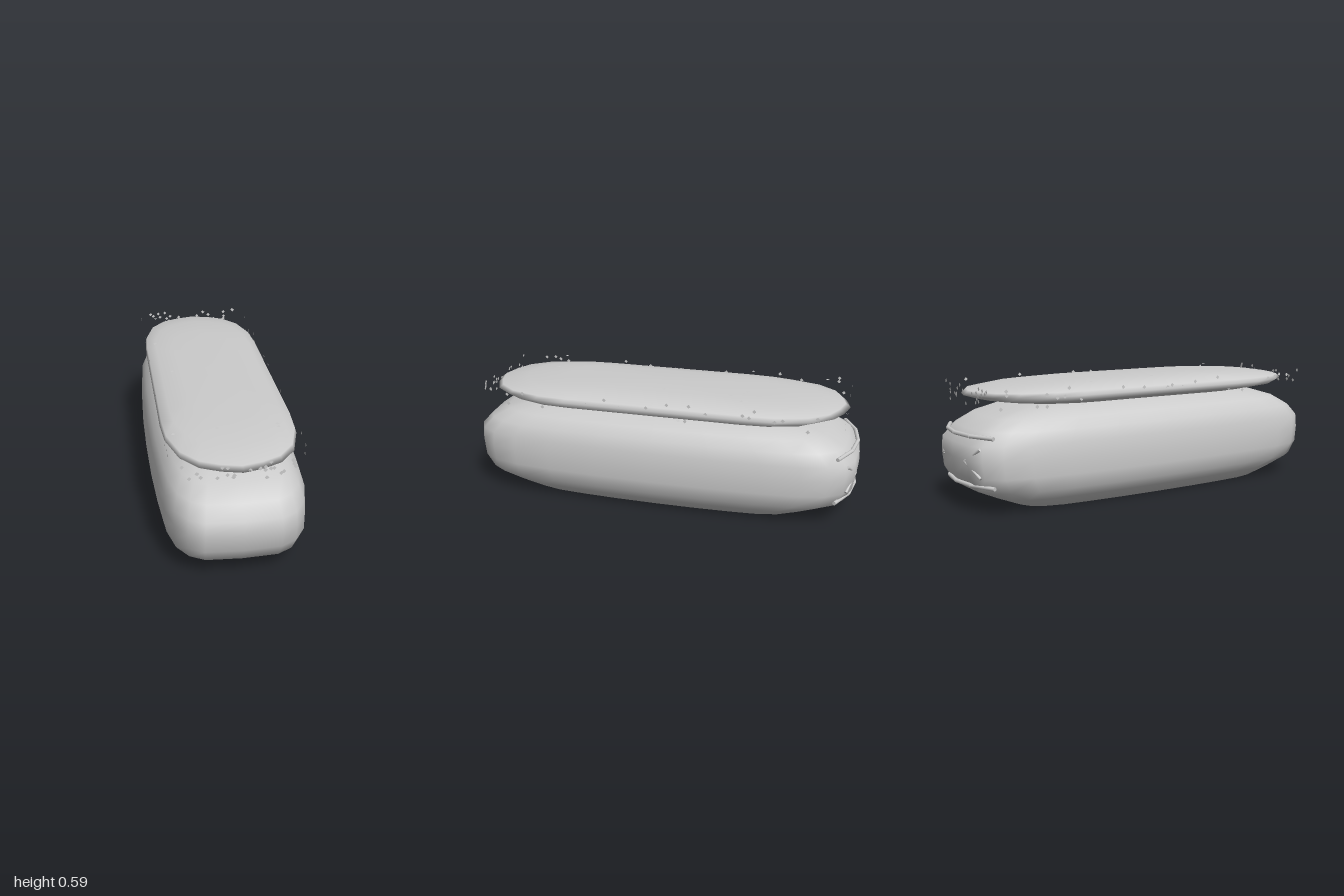
import * as THREE from 'three';

const grey = new THREE.MeshStandardMaterial({ color: 0xcccccc });
const thin = new THREE.MeshStandardMaterial({ color: 0xcccccc, side: THREE.DoubleSide });

// Mirror one quarter of a plan outline (x, z from side to end) into a full ring
function fullRing(quarter) {
  const half = [...quarter, ...quarter.slice(0, -1).reverse().map(([x, z]) => [-x, z])];
  return [...half, ...half.slice(1, -1).reverse().map(([x, z]) => [x, -z])];
}

// Loft a ring through levels of [y, half width, half length], closed at both ends
function loft(name, quarter, levels) {
  const ring = fullRing(quarter);
  const n = ring.length;
  const pos = [];
  const idx = [];
  for (const [y, hx, hz] of levels) for (const [x, z] of ring) pos.push(x * hx, y, z * hz);
  for (let i = 0; i < levels.length - 1; i++) {
    for (let j = 0; j < n; j++) {
      const a = i * n + j, b = i * n + (j + 1) % n;
      idx.push(a, a + n, b, b, a + n, b + n);
    }
  }
  const top = (levels.length - 1) * n;
  const c0 = levels.length * n;
  pos.push(0, levels[0][0], 0, 0, levels.at(-1)[0], 0);
  for (let j = 0; j < n; j++) {
    const k = (j + 1) % n;
    idx.push(c0, j, k, c0 + 1, top + k, top + j);
  }
  const geo = new THREE.BufferGeometry();
  geo.setAttribute('position', new THREE.Float32BufferAttribute(pos, 3));
  geo.setIndex(idx);
  geo.computeVertexNormals();
  const mesh = new THREE.Mesh(geo, grey);
  mesh.name = name;
  return mesh;
}

// Thin rods joined end to end through a list of points
function rods(name, points, radius) {
  const group = new THREE.Group();
  group.name = name;
  const pts = points.map((p) => new THREE.Vector3(...p));
  for (let i = 0; i < pts.length - 1; i++) {
    const dir = pts[i + 1].clone().sub(pts[i]);
    const rod = new THREE.Mesh(new THREE.CylinderGeometry(radius, radius, dir.length(), 8), grey);
    rod.position.copy(pts[i]).addScaledVector(dir, 0.5);
    rod.quaternion.setFromUnitVectors(new THREE.Vector3(0, 1, 0), dir.normalize());
    rod.name = name + 'Segment';
    group.add(rod);
  }
  return group;
}

export function createModel() {
  const model = new THREE.Group();
  model.name = 'icedBun';

  // Long rounded bun
  model.add(loft('bun',
    [[1, 0], [0.99, 0.3], [0.96, 0.55], [0.92, 0.74], [0.83, 0.87], [0.68, 0.95], [0.48, 0.99], [0, 1]],
    [[0, 0.25, 0.72], [0.05, 0.3, 0.84], [0.1, 0.34, 0.95], [0.17, 0.355, 0.99], [0.25, 0.353, 1],
      [0.32, 0.348, 0.995], [0.38, 0.328, 0.94], [0.43, 0.29, 0.85], [0.485, 0.215, 0.66]]));

  // Flat slab of icing
  model.add(loft('icing',
    [[1, 0], [1, 0.5], [0.97, 0.66], [0.82, 0.83], [0.58, 0.93], [0.3, 0.975], [0, 1]],
    [[0.478, 0.2, 0.64], [0.49, 0.25, 0.75], [0.507, 0.31, 0.86], [0.53, 0.31, 0.935],
      [0.55, 0.305, 0.91], [0.571, 0.26, 0.77], [0.586, 0.17, 0.55]]));

  // Face on the back end: two wrapping bars and a pair of inward chevron eyes
  for (const [name, y] of [['upperBar', 0.36], ['lowerBar', 0.13]]) {
    model.add(rods(name, [[0.27, y, -0.905], [0.14, y, -0.965], [0, y, -0.985],
      [-0.14, y, -0.965], [-0.27, y, -0.905]], 0.01));
  }
  for (const s of [1, -1]) {
    model.add(rods(s > 0 ? 'leftEye' : 'rightEye',
      [[s * 0.23, 0.31, -0.955], [s * 0.13, 0.245, -0.99], [s * 0.23, 0.175, -0.955]], 0.007));
  }

  // Small diamond sprinkles scattered over the box around the icing
  let seed = 7;
  const rand = () => {
    seed = (seed * 16807) % 2147483647;
    return seed / 2147483647;
  };
  const spread = (h) => (rand() * 2 - 1) * h;
  const diamond = new THREE.CircleGeometry(0.01, 4);
  const sprinkles = new THREE.Group();
  sprinkles.name = 'sprinkles';
  const scatter = (count, place) => {
    for (let i = 0; i < count; i++) {
      const m = new THREE.Mesh(diamond, thin);
      m.name = 'sprinkle';
      place(m);
      sprinkles.add(m);
    }
  };
  for (const s of [1, -1]) {
    scatter(24, (m) => m.position.set(spread(0.26), 0.533 + spread(0.045), s * 0.925));
    scatter(24, (m) => {
      m.position.set(s * 0.308, 0.533 + spread(0.045), spread(0.9));
      m.rotation.y = Math.PI / 2;
    });
    scatter(12, (m) => {
      m.position.set(spread(0.27), 0.533 + s * 0.055, spread(0.8));
      m.rotation.x = Math.PI / 2;
    });
  }
  model.add(sprinkles);
  return model;
}
